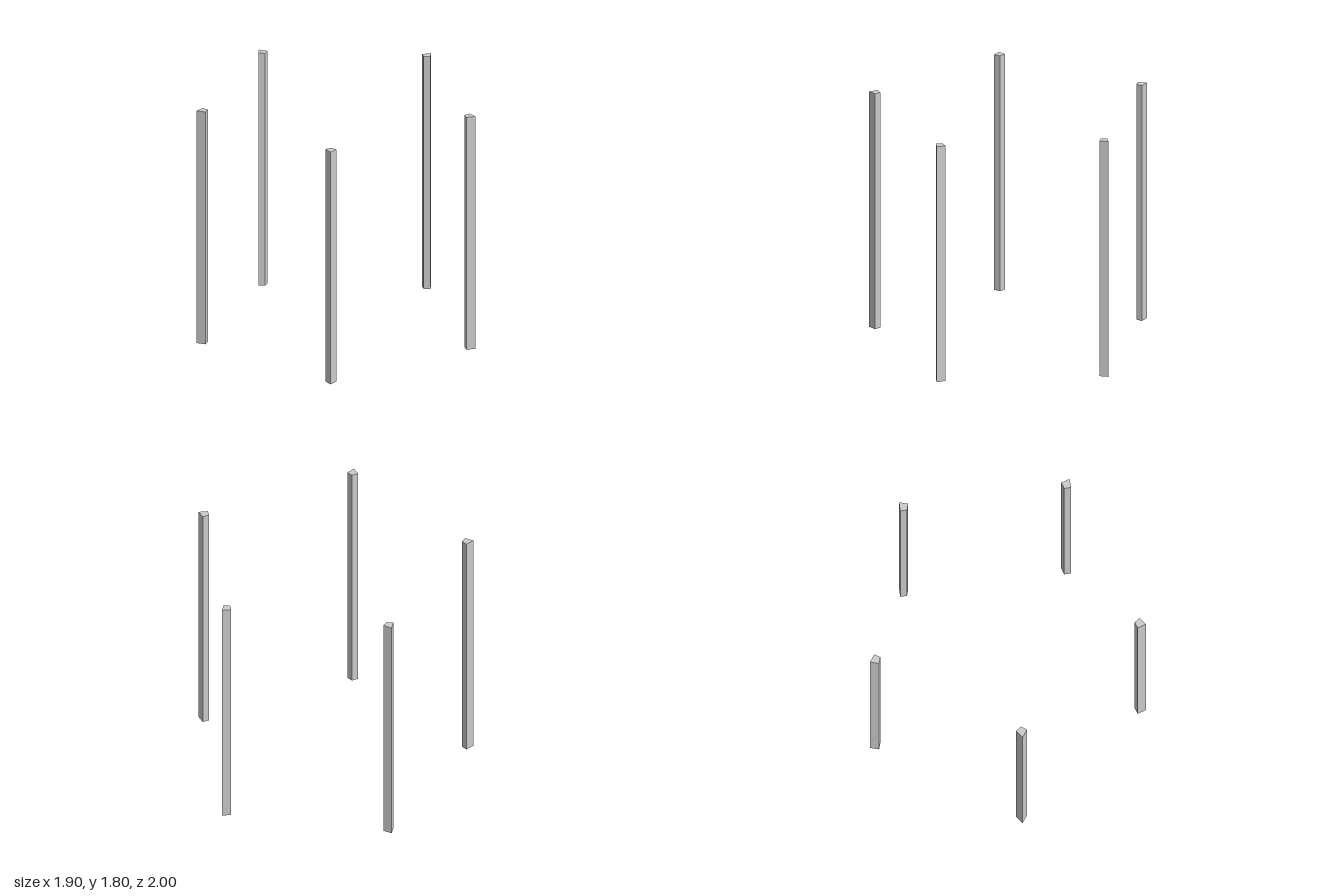
import * as THREE from 'three';

export function createModel() {
  const model = new THREE.Group();
  model.name = 'pentagonOfPosts';
  const material = new THREE.MeshStandardMaterial({ color: 0xcccccc, flatShading: true });

  const height = 1.8;
  const radius = 1 / Math.sin(0.4 * Math.PI); // outer corners reach z = +-1
  const centreX = radius * (1 - Math.cos(Math.PI / 5)) / 2; // centres the pentagon in x

  // Kite cross-section: sharp corner outwards, blunt corner inwards
  const side = 0.067;
  const depth = side * Math.cos(Math.PI / 5);
  const half = side * Math.sin(Math.PI / 5);
  const inner = depth + half / Math.tan(0.3 * Math.PI);
  const kite = new THREE.Shape([
    new THREE.Vector2(radius, 0),
    new THREE.Vector2(radius - depth, half),
    new THREE.Vector2(radius - inner, 0),
    new THREE.Vector2(radius - depth, -half),
  ]);
  const geometry = new THREE.ExtrudeGeometry(kite, { depth: height, bevelEnabled: false });
  geometry.rotateX(-Math.PI / 2);

  // Five upright posts, one at each corner of a pentagon pointing to -x
  for (let i = 0; i < 5; i++) {
    const post = new THREE.Mesh(geometry, material);
    post.name = `post${i + 1}`;
    post.rotation.y = Math.PI + i * 0.4 * Math.PI;
    post.position.x = centreX;
    model.add(post);
  }
  return model;
}
